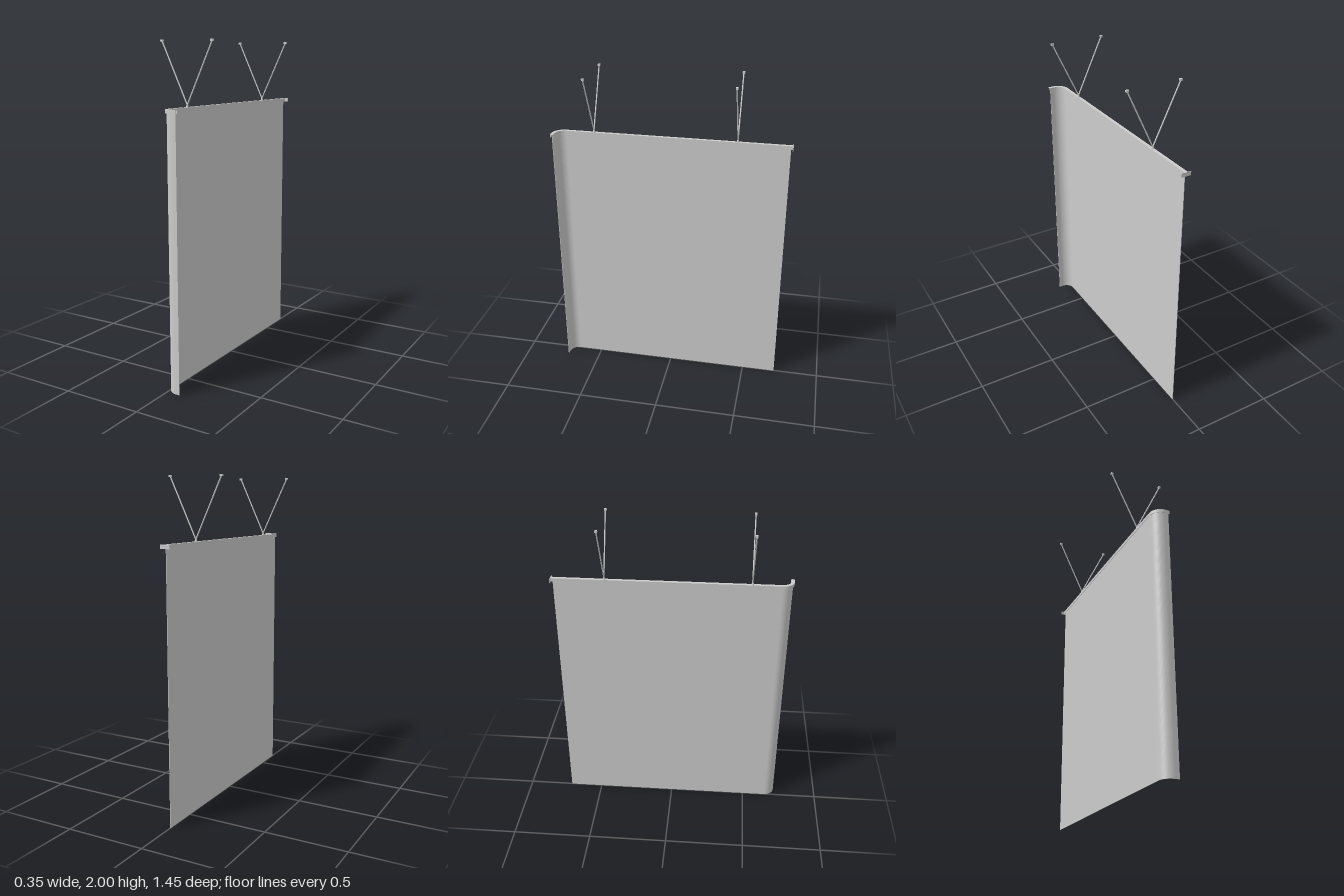
import * as THREE from 'three';

const Z_BACK = -0.723, Z_FRONT = 0.714, BEND = 0.062, X_END = 0.092, RAIL_TOP = 1.625;

// Plan outline of the J-shaped track, shifted sideways by d (positive = inside of the bend)
function planLine(d, zBack, xEnd) {
  const pts = [[d, zBack]];
  for (let i = 0; i <= 16; i++) {
    const a = (i / 16) * Math.PI / 2, r = BEND - d;
    pts.push([BEND - r * Math.cos(a), Z_FRONT - BEND + r * Math.sin(a)]);
  }
  pts.push([xEnd, Z_FRONT - d]);
  return pts;
}

// Upright band following the track between offsets d0 and d1, heights y0 to y1
function band(name, material, d0, d1, y0, y1, zBack = Z_BACK, xEnd = X_END) {
  const outline = [...planLine(d0, zBack, xEnd), ...planLine(d1, zBack, xEnd).reverse()];
  const shape = new THREE.Shape(outline.map(([x, z]) => new THREE.Vector2(x, -z)));
  const geo = new THREE.ExtrudeGeometry(shape, { depth: y1 - y0, bevelEnabled: false });
  geo.rotateX(-Math.PI / 2).translate(0, y0, 0);
  const mesh = new THREE.Mesh(geo, material);
  mesh.name = name;
  return mesh;
}

function rod(name, material, from, to, radius) {
  const dir = to.clone().sub(from);
  const mesh = new THREE.Mesh(new THREE.CylinderGeometry(radius, radius, dir.length(), 12), material);
  mesh.position.copy(from).add(to).multiplyScalar(0.5);
  mesh.quaternion.setFromUnitVectors(new THREE.Vector3(0, 1, 0), dir.normalize());
  mesh.name = name;
  return mesh;
}

export function createModel() {
  const model = new THREE.Group();
  model.name = 'hangingCurtain';
  const grey = new THREE.MeshStandardMaterial({ color: 0xcccccc, side: THREE.DoubleSide });

  // Curtain sheet
  model.add(band('curtain', grey, -0.0015, 0.0015, 0, 1.62, -0.713, 0.087));

  // Rail: a channel open underneath
  const rail = new THREE.Group();
  rail.name = 'rail';
  rail.add(
    band('railTop', grey, -0.01, 0.01, RAIL_TOP - 0.003, RAIL_TOP),
    band('railOuterWall', grey, -0.01, -0.0075, 1.604, RAIL_TOP - 0.003),
    band('railInnerWall', grey, 0.0075, 0.01, 1.604, RAIL_TOP - 0.003)
  );
  model.add(rail);

  // Wall plate at the back end of the rail
  const plate = new THREE.Mesh(new THREE.BoxGeometry(0.06, 0.024, 0.003), grey);
  plate.name = 'wallPlate';
  plate.position.set(0, RAIL_TOP - 0.012, Z_BACK - 0.0015);
  model.add(plate);

  // V-shaped ceiling hangers
  for (const z of [0.475, -0.402]) {
    const hanger = new THREE.Group();
    hanger.name = 'hanger';
    hanger.position.z = z;
    const foot = new THREE.Mesh(new THREE.CylinderGeometry(0.004, 0.008, 0.018, 12), grey);
    foot.name = 'hangerFoot';
    foot.position.y = RAIL_TOP + 0.009;
    hanger.add(foot);
    for (const s of [-1, 1]) {
      hanger.add(rod('hangerRod', grey,
        new THREE.Vector3(0, 1.637, 0), new THREE.Vector3(s * 0.168, 1.992, 0), 0.004));
      const pad = new THREE.Mesh(new THREE.BoxGeometry(0.016, 0.012, 0.014), grey);
      pad.name = 'ceilingPad';
      pad.position.set(s * 0.168, 1.994, 0);
      hanger.add(pad);
    }
    model.add(hanger);
  }
  return model;
}
